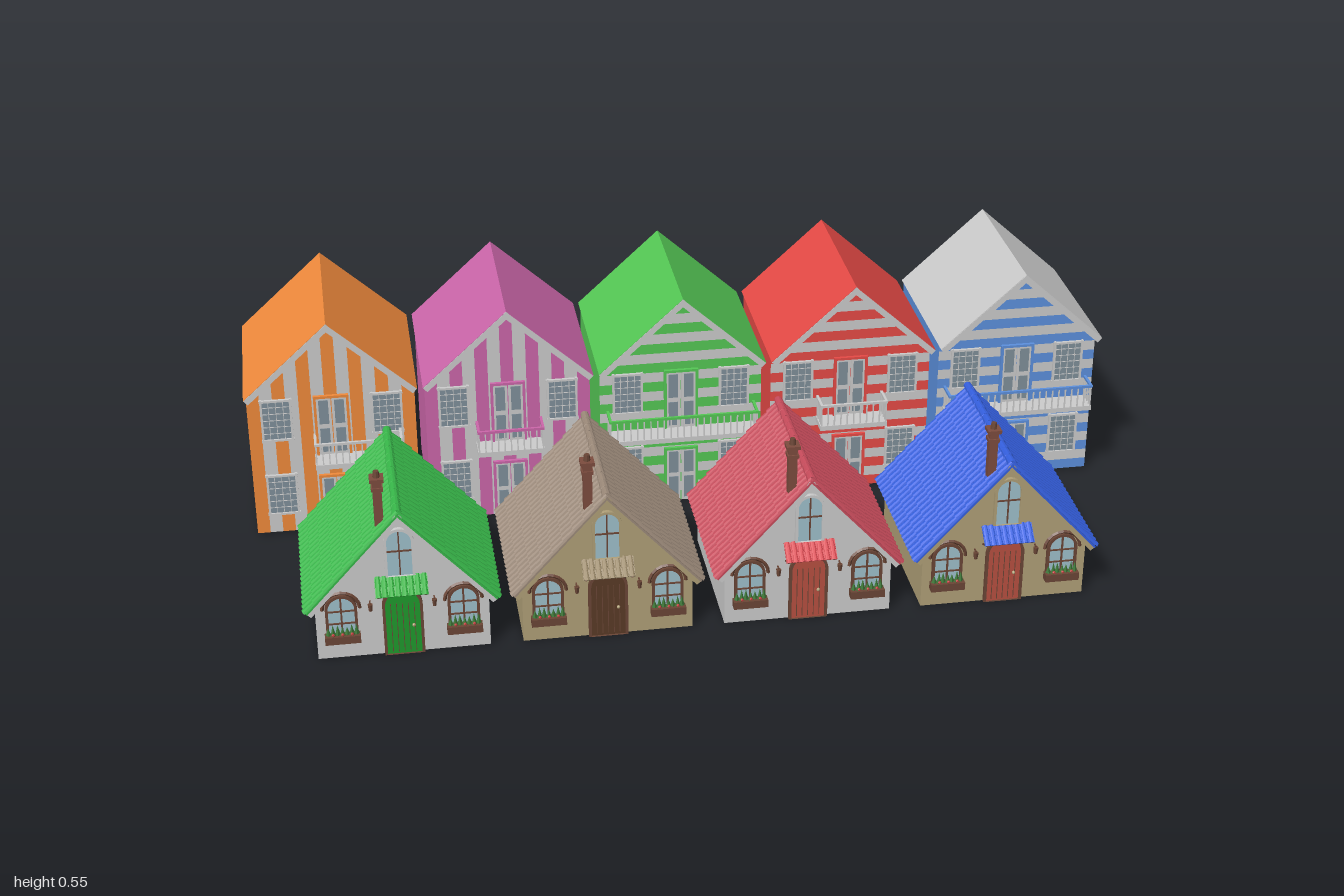
import * as THREE from 'three';
import { mergeGeometries } from 'three/addons/utils/BufferGeometryUtils.js';

const GREY = 0xcccccc, WOOD = 0x6b4636, GLASS = 0x7f8f9a, PANE = 0x9fc0cc, LEAF = 0x3f7a3a, TAN = 0xb0a078;
const mats = {};
const mat = (color) => (mats[color] ??= new THREE.MeshStandardMaterial({ color, side: THREE.DoubleSide, flatShading: true }));

function add(parent, name, geo, color, x = 0, y = 0, z = 0) {
  const m = new THREE.Mesh(geo, mat(color));
  m.name = name;
  m.position.set(x, y, z);
  parent.add(m);
  return m;
}
const box = (parent, name, color, w, h, d, x, y, z) => add(parent, name, new THREE.BoxGeometry(w, h, d), color, x, y, z);
const group = (parent, name, x = 0, y = 0, z = 0) => {
  const g = new THREE.Group();
  g.name = name;
  g.position.set(x, y, z);
  parent.add(g);
  return g;
};
const poly = (pts) => new THREE.Shape(pts.map(([x, y]) => new THREE.Vector2(x, y)));
const flat = (pts) => new THREE.ShapeGeometry(poly(pts));
const gable = (w, eave, peak, y0 = 0) => [[-w, y0], [w, y0], [w, eave], [0, peak], [-w, eave]];

// Sloped group: local y runs up the slope, z points outward, x along the ridge
function slope(parent, name, run, eave, peak, side) {
  const turn = group(parent, name);
  turn.rotation.y = side > 0 ? 0 : Math.PI;
  const g = group(turn, name + 'Plane', run, eave, 0);
  const up = new THREE.Vector3(-run, peak - eave, 0).normalize();
  const out = new THREE.Vector3(up.y, -up.x, 0);
  g.quaternion.setFromRotationMatrix(new THREE.Matrix4().makeBasis(up.clone().cross(out), up, out));
  return { g, length: Math.hypot(run, peak - eave) };
}

// Overlapping barrel tiles covering a w x len field in the local xy plane
function tiles(parent, color, w, len, cols, rows) {
  const p = w / cols, l = len / rows, list = [];
  for (let c = 0; c < cols; c++) for (let r = 0; r < rows; r++) {
    const t = new THREE.CylinderGeometry(p * 0.36, p * 0.5, l * 1.1, 5, 1, true, -Math.PI / 2, Math.PI);
    t.scale(1, 1, 0.8);
    t.rotateX(-0.05);
    t.translate(-w / 2 + p * (c + 0.5), l * (r + 0.5), 0);
    list.push(t);
  }
  return add(parent, 'roofTiles', mergeGeometries(list), color);
}

// Arched outline standing on y = 0
function arch(w, h) {
  const s = new THREE.Shape();
  s.moveTo(-w, 0);
  s.lineTo(w, 0);
  s.lineTo(w, h - w);
  s.absarc(0, h - w, w, 0, Math.PI, false);
  s.lineTo(-w, 0);
  return s;
}
const extrude = (shape, depth) => new THREE.ExtrudeGeometry(shape, { depth, bevelEnabled: false, curveSegments: 8 });

function archedOpening(parent, name, w, h, x, y, z, frame, fill) {
  const g = group(parent, name, x, y, z);
  const rim = arch(w, h);
  const hole = arch(w - 0.006, h - 0.006);
  rim.holes.push(hole);
  add(g, 'frame', extrude(rim, 0.012), frame, 0, 0, -0.003);
  add(g, 'panel', extrude(hole, 0.007), fill, 0, 0, -0.003);
  return g;
}

// Rectangular window with a lattice of glazing bars
function latticeWindow(parent, x, y, w = 0.066, h = 0.1) {
  const g = group(parent, 'window', x, y, 0);
  box(g, 'glass', GLASS, w, h, 0.006, 0, 0, 0);
  for (const s of [-1, 1]) {
    box(g, 'frameSide', GREY, 0.005, h + 0.008, 0.014, s * w / 2, 0, 0);
    box(g, 'frameRail', GREY, w + 0.008, 0.005, 0.014, 0, s * h / 2, 0);
  }
  for (let i = 1; i < 4; i++) box(g, 'bar', GREY, 0.0015, h, 0.008, w * (i / 4 - 0.5), 0, 0);
  for (let i = 1; i < 6; i++) box(g, 'bar', GREY, w, 0.0015, 0.008, 0, h * (i / 6 - 0.5), 0);
}

function doubleDoor(parent, y, h, color) {
  const g = group(parent, 'doubleDoor', 0, y + h / 2, 0);
  for (const s of [-1, 1]) {
    box(g, 'leaf', GREY, 0.034, h, 0.008, s * 0.018, 0, 0);
    for (const v of [-0.24, 0.24]) box(g, 'pane', GLASS, 0.022, h * 0.4, 0.011, s * 0.018, h * v, 0);
    box(g, 'jamb', color, 0.006, h, 0.016, s * 0.037, 0, 0);
  }
  box(g, 'lintel', color, 0.08, 0.006, 0.016, 0, h / 2, 0);
}

function balcony(parent, x, half, rail) {
  const g = group(parent, 'balcony', x, 0.19, 0), d = 0.056;
  box(g, 'floor', GREY, half * 2, 0.012, d, 0, 0.006, d / 2);
  box(g, 'frontRail', rail, half * 2, 0.006, 0.006, 0, 0.063, d - 0.003);
  const n = Math.round(half * 2 / 0.016);
  for (let i = 0; i <= n; i++) box(g, 'baluster', GREY, 0.003, 0.05, 0.003, (half - 0.003) * (2 * i / n - 1), 0.036, d - 0.003);
  for (const s of [-1, 1]) {
    box(g, 'sideRail', rail, 0.006, 0.006, d, s * (half - 0.003), 0.063, d / 2);
    for (let i = 0; i < 4; i++) box(g, 'baluster', GREY, 0.003, 0.05, 0.003, s * (half - 0.003), 0.036, 0.004 + i * 0.0135);
  }
}

function tallHouse(root, { x, color, roof = color, back = color, vertical, bx = 0, bw, rail }) {
  const W = 0.19, E = 0.37, P = 0.543, Z0 = -0.47, Z1 = -0.115;
  const house = group(root, 'tallHouse', x);
  const topAt = (px) => E + (P - E) * (1 - Math.abs(px) / W);
  const halfAt = (py) => (py <= E ? W : W * (P - py) / (P - E));

  // Striped front wall
  const front = group(house, 'frontWall', 0, 0, Z1);
  const n = vertical ? 13 : 22;
  for (let i = 0; i < n; i++) {
    let pts;
    if (vertical) {
      const a = -W + 2 * W * i / n, b = -W + 2 * W * (i + 1) / n;
      pts = [[a, 0.005], [b, 0.005], [b, topAt(b)], ...(a < 0 && b > 0 ? [[0, P]] : []), [a, topAt(a)]];
    } else {
      const a = 0.005 + (P - 0.005) * i / n, b = 0.005 + (P - 0.005) * (i + 1) / n;
      pts = [[-halfAt(a), a], [halfAt(a), a], [halfAt(b), b], ...(b < P - 0.001 ? [[-halfAt(b), b]] : [])];
    }
    add(front, 'stripe', flat(pts), i % 2 ? GREY : color);
  }
  for (const s of [-1, 1]) for (const y of [0.105, 0.298]) latticeWindow(front, s * 0.125, y);
  doubleDoor(front, 0.006, 0.14, color);
  doubleDoor(front, 0.2, 0.15, color);
  balcony(front, bx, bw, rail);

  // Plain walls, open underneath
  add(house, 'backWall', flat(gable(W, E, P, 0.005)), back, 0, 0, Z0);
  for (const s of [-1, 1]) {
    const wall = add(house, 'sideWall', new THREE.PlaneGeometry(Z1 - Z0, E - 0.005), color, s * W, (E + 0.005) / 2, (Z0 + Z1) / 2);
    wall.rotation.y = s * Math.PI / 2;
  }

  // Roof slabs with a grey board along the front gable
  const roofGroup = group(house, 'roof', 0, 0, -0.275);
  for (const s of [-1, 1]) {
    const { g, length } = slope(roofGroup, 'roofSide', 0.195, 0.37, 0.547, s);
    box(g, 'slab', roof, 0.39, length, 0.004, 0, length / 2, -0.002);
    box(g, 'gableBoard', GREY, 0.018, length, 0.014, -s * 0.187, length / 2, -0.008);
  }
}

function flowerWindow(parent, x) {
  const g = archedOpening(parent, 'window', 0.034, 0.1, x, 0.058, 0, WOOD, PANE);
  box(g, 'mullion', WOOD, 0.004, 0.092, 0.01, 0, 0.047, 0.002);
  for (const y of [0.03, 0.06]) box(g, 'crossBar', WOOD, 0.064, 0.003, 0.01, 0, y, 0.002);
  add(g, 'archMoulding', new THREE.TorusGeometry(0.04, 0.004, 4, 10, Math.PI), WOOD, 0, 0.066, 0.006);
  box(g, 'flowerBox', WOOD, 0.076, 0.018, 0.02, 0, -0.002, 0.014);
  for (let i = 0; i < 7; i++) {
    const h = 0.018 + 0.009 * ((i * 3) % 4) / 3, px = -0.03 + i * 0.01;
    add(g, 'leaves', new THREE.ConeGeometry(0.006, h, 4), LEAF, px, 0.007 + h / 2, 0.012 + 0.004 * (i % 2));
    if (i % 2) add(g, 'flower', new THREE.IcosahedronGeometry(0.004, 0), 0xc04040, px, 0.012, 0.022);
  }
}

function cottage(root, { x, wall, roof, door, awning }) {
  const W = 0.185, E = 0.143, P = 0.343, Z0 = 0.075, Z1 = 0.43;
  const house = group(root, 'cottage', x);

  // Walls, open underneath
  add(house, 'frontWall', flat(gable(W, E, P)), wall, 0, 0, Z1);
  add(house, 'backWall', flat(gable(W, E, P)), wall, 0, 0, Z0);
  for (const s of [-1, 1]) {
    const side = add(house, 'sideWall', new THREE.PlaneGeometry(Z1 - Z0, E), wall, s * W, E / 2, (Z0 + Z1) / 2);
    side.rotation.y = s * Math.PI / 2;
  }

  // Tiled roof with gable boards and ridge tiles
  const roofGroup = group(house, 'roof', 0, 0, 0.2575);
  for (const s of [-1, 1]) {
    const { g, length } = slope(roofGroup, 'roofSide', 0.205, 0.124, 0.35, s);
    box(g, 'slab', roof, 0.376, length, 0.004, 0, length / 2, -0.003);
    tiles(g, roof, 0.376, length, 20, 9);
    box(g, 'gableBoard', wall, 0.012, length, 0.012, -s * 0.18, length / 2, -0.01);
  }
  for (let i = 0; i < 12; i++) {
    const r = new THREE.CylinderGeometry(0.009, 0.011, 0.033, 6, 1, true, -Math.PI / 2, Math.PI);
    add(roofGroup, 'ridgeTile', r.rotateX(-Math.PI / 2), roof, 0, 0.35, -0.173 + i * 0.0315);
  }

  // Chimney
  const ch = group(house, 'chimney', -0.037, 0, 0.411);
  box(ch, 'stack', 0x7c4c3e, 0.019, 0.11, 0.019, 0, 0.36, 0);
  box(ch, 'collar', 0x7c4c3e, 0.025, 0.008, 0.025, 0, 0.398, 0);
  box(ch, 'cap', 0x7c4c3e, 0.03, 0.008, 0.03, 0, 0.42, 0);
  add(ch, 'pot', new THREE.CylinderGeometry(0.006, 0.008, 0.016, 8), WOOD, 0, 0.43, 0);

  // Door, windows and lanterns
  const front = group(house, 'frontFittings', 0, 0, Z1);
  const d = archedOpening(front, 'door', 0.043, 0.165, 0, 0, 0, WOOD, door);
  for (let i = -2; i <= 2; i++) box(d, 'plankJoint', WOOD, 0.0015, 0.12, 0.003, i * 0.0125, 0.065, 0.004);
  add(d, 'knob', new THREE.SphereGeometry(0.004, 8, 6), TAN, 0.022, 0.07, 0.007);
  const loft = archedOpening(front, 'loftWindow', 0.032, 0.115, 0, 0.195, 0, wall, PANE);
  box(loft, 'mullion', WOOD, 0.003, 0.105, 0.01, 0, 0.055, 0.002);
  box(loft, 'crossBar', WOOD, 0.058, 0.003, 0.01, 0, 0.06, 0.002);
  for (const s of [-1, 1]) {
    flowerWindow(front, s * 0.13);
    box(front, 'lanternArm', WOOD, 0.003, 0.003, 0.012, s * 0.068, 0.135, 0.006);
    add(front, 'lantern', new THREE.CylinderGeometry(0.006, 0.004, 0.016, 6), WOOD, s * 0.068, 0.125, 0.011);
  }

  // Tiled awning on brackets
  const aw = group(front, 'awning', 0, 0.162, 0.036);
  aw.rotation.x = -0.85;
  box(aw, 'awningSlab', awning, 0.112, 0.046, 0.003, 0, 0.023, 0);
  tiles(aw, awning, 0.112, 0.046, 8, 2);
  for (const s of [-1, 1]) {
    const b = box(front, 'awningBracket', WOOD, 0.004, 0.003, 0.038, s * 0.05, 0.154, 0.018);
    b.rotation.x = -0.4;
  }
}

export function createModel() {
  const root = new THREE.Group();
  root.name = 'villageRow';
  const [orange, pink, green, red, blue] = [0xf08a3c, 0xcc66aa, 0x55c855, 0xe64a46, 0x5c90dd];
  [
    { color: orange, vertical: true, bx: 0.055, bw: 0.1, rail: GREY },
    { color: pink, vertical: true, bw: 0.077, rail: pink },
    { color: green, bw: 0.175, rail: green },
    { color: red, back: GREY, bw: 0.08, rail: GREY },
    { color: blue, roof: GREY, bw: 0.175, rail: blue },
  ].forEach((o, i) => tallHouse(root, { x: (i - 2) * 0.4025, ...o }));
  [
    { wall: GREY, roof: 0x38b84a, door: 0x1f9a2c, awning: 0x2fb03c },
    { wall: TAN, roof: 0x9c8a7a, door: 0x5a3a26, awning: 0x9c8a6a },
    { wall: GREY, roof: 0xc84c5c, door: 0xb85040, awning: 0xd84850 },
    { wall: TAN, roof: 0x3560e0, door: 0xb85040, awning: 0x3560e0 },
  ].forEach((o, i) => cottage(root, { x: -0.688 + i * 0.441, ...o }));
  return root;
}
